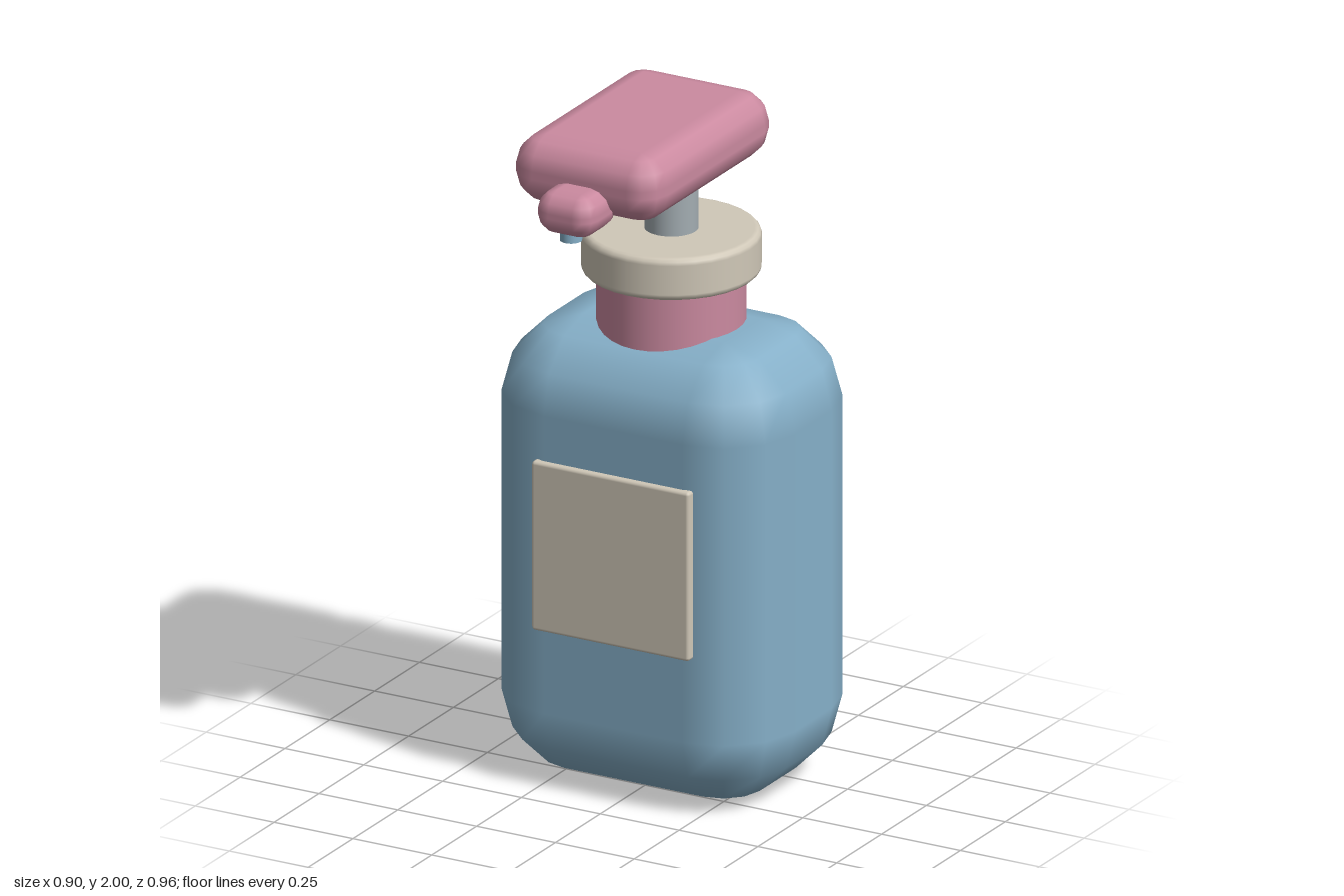
import * as THREE from 'three';

const mat = (name, color) => {
  const m = new THREE.MeshStandardMaterial({ color });
  m.name = name;
  return m;
};

// Box with rounded upright corners (corner) and rounded rims (bevel), made of stacked loops
function softBox(w, h, d, corner, bevel, seg = 3, cornerSeg = seg) {
  const pos = [], nor = [], idx = [];
  const ring = 4 * (cornerSeg + 1);
  const rows = 2 * (seg + 1);
  for (let j = 0; j < rows; j++) {
    const top = j > seg;
    const lat = (top ? j - seg - 1 : j - seg) / seg * Math.PI / 2;
    const c = Math.cos(lat), s = Math.sin(lat);
    const y = (top ? 1 : -1) * (h / 2 - bevel) + bevel * s;
    const r = corner - bevel + bevel * c;
    for (let q = 0; q < 4; q++) {
      const sx = q === 0 || q === 3 ? 1 : -1, sz = q < 2 ? 1 : -1;
      for (let i = 0; i <= cornerSeg; i++) {
        const a = (q + i / cornerSeg) * Math.PI / 2;
        pos.push(sx * (w / 2 - corner) + r * Math.cos(a), y, sz * (d / 2 - corner) + r * Math.sin(a));
        nor.push(c * Math.cos(a), s, c * Math.sin(a));
      }
    }
  }
  for (let j = 0; j < rows - 1; j++) {
    for (let i = 0; i < ring; i++) {
      const a = j * ring + i, b = j * ring + (i + 1) % ring;
      idx.push(a, a + ring, b, b, a + ring, b + ring);
    }
  }
  // flat bottom and top
  const last = (rows - 1) * ring, mid = rows * ring;
  pos.push(0, -h / 2, 0, 0, h / 2, 0);
  nor.push(0, -1, 0, 0, 1, 0);
  for (let i = 0; i < ring; i++) {
    const n = (i + 1) % ring;
    idx.push(mid, i, n, mid + 1, last + n, last + i);
  }
  const g = new THREE.BufferGeometry();
  g.setAttribute('position', new THREE.Float32BufferAttribute(pos, 3));
  g.setAttribute('normal', new THREE.Float32BufferAttribute(nor, 3));
  g.setIndex(idx);
  return g;
}

export function createModel() {
  const group = new THREE.Group();
  const blue = mat('soft blue', 0x86b0c9);
  const pink = mat('dusty pink', 0xcb8aa0);
  const cream = mat('warm cream', 0xd0c8b8);
  const grey = mat('metal grey', 0xa3adb2);

  const add = (name, geometry, material, x, y, z) => {
    const m = new THREE.Mesh(geometry, material);
    m.name = name;
    m.position.set(x, y, z);
    group.add(m);
  };
  const axis = -0.147; // centre line of bottle and pump

  // Bottle and label
  add('bottle', softBox(0.9, 1.34, 0.66, 0.23, 0.23), blue, 0, 0.672, -0.15);
  add('label', softBox(0.5, 0.5, 0.036, 0.01, 0.01), cream, 0, 0.73, 0.179);

  // Neck, collar and stem
  add('neck', new THREE.CylinderGeometry(0.208, 0.208, 0.2, 32), pink, 0, 1.412, axis);
  add('collar', softBox(0.5, 0.126, 0.5, 0.25, 0.02, 3, 8), cream, 0, 1.542, axis);
  add('stem', new THREE.CylinderGeometry(0.075, 0.075, 0.26, 32), grey, 0, 1.72, axis);

  // Pump head, spout and outlet
  add('pumpHead', softBox(0.47, 0.195, 0.71, 0.086, 0.086), pink, 0, 1.9025, 0.015);
  add('spout', softBox(0.184, 0.124, 0.19, 0.055, 0.055), pink, 0, 1.84, 0.382);
  add('outlet', new THREE.CylinderGeometry(0.031, 0.031, 0.05, 24), blue, 0, 1.782, 0.413);

  return group;
}
